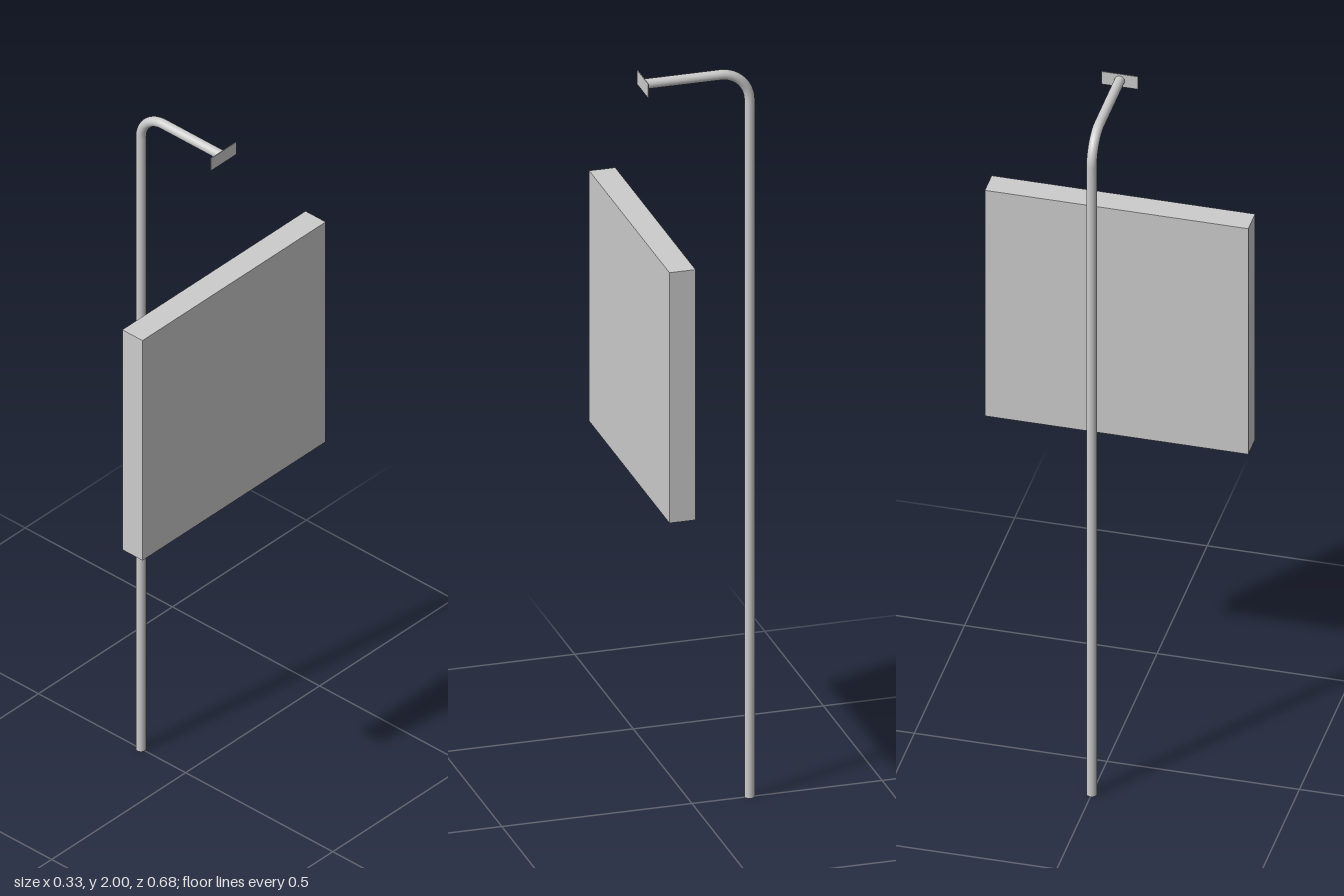
import * as THREE from 'three';

const material = new THREE.MeshStandardMaterial({ color: 0xcccccc });

function addMesh(parent, name, geometry, x = 0, y = 0, z = 0) {
  const mesh = new THREE.Mesh(geometry, material);
  mesh.name = name;
  mesh.position.set(x, y, z);
  parent.add(mesh);
  return mesh;
}

export function createModel() {
  const model = new THREE.Group();
  model.name = 'poleWithPanel';

  const r = 0.0132, poleX = -0.1515, armY = 1.981, armEnd = 0.128, bend = 0.077;
  const sides = 24;
  const pole = new THREE.Group();
  pole.name = 'bentPole';
  model.add(pole);

  // Upright
  const uprightH = armY - bend;
  addMesh(pole, 'upright', new THREE.CylinderGeometry(r, r, uprightH, sides, 1, true), poleX, uprightH / 2);

  // Rounded elbow: a quarter torus
  const elbow = addMesh(pole, 'elbow', new THREE.TorusGeometry(bend, r, sides, 16, Math.PI / 2), poleX + bend, uprightH);
  elbow.rotation.z = Math.PI / 2;

  // Horizontal arm
  const armLength = armEnd - (poleX + bend);
  const arm = addMesh(pole, 'arm', new THREE.CylinderGeometry(r, r, armLength, sides, 1, true), armEnd - armLength / 2, armY);
  arm.rotation.z = Math.PI / 2;

  // Closed foot of the pole
  const foot = addMesh(pole, 'foot', new THREE.CircleGeometry(r, sides), poleX, 0);
  foot.rotation.x = Math.PI / 2;

  // Thin end plate on the arm
  addMesh(model, 'endPlate', new THREE.BoxGeometry(0.002, 0.038, 0.094), armEnd + 0.0005, armY);

  // Square panel, hanging free of the pole
  addMesh(model, 'panel', new THREE.BoxGeometry(0.0685, 0.684, 0.684), 0.1305, 1.268);

  return model;
}
